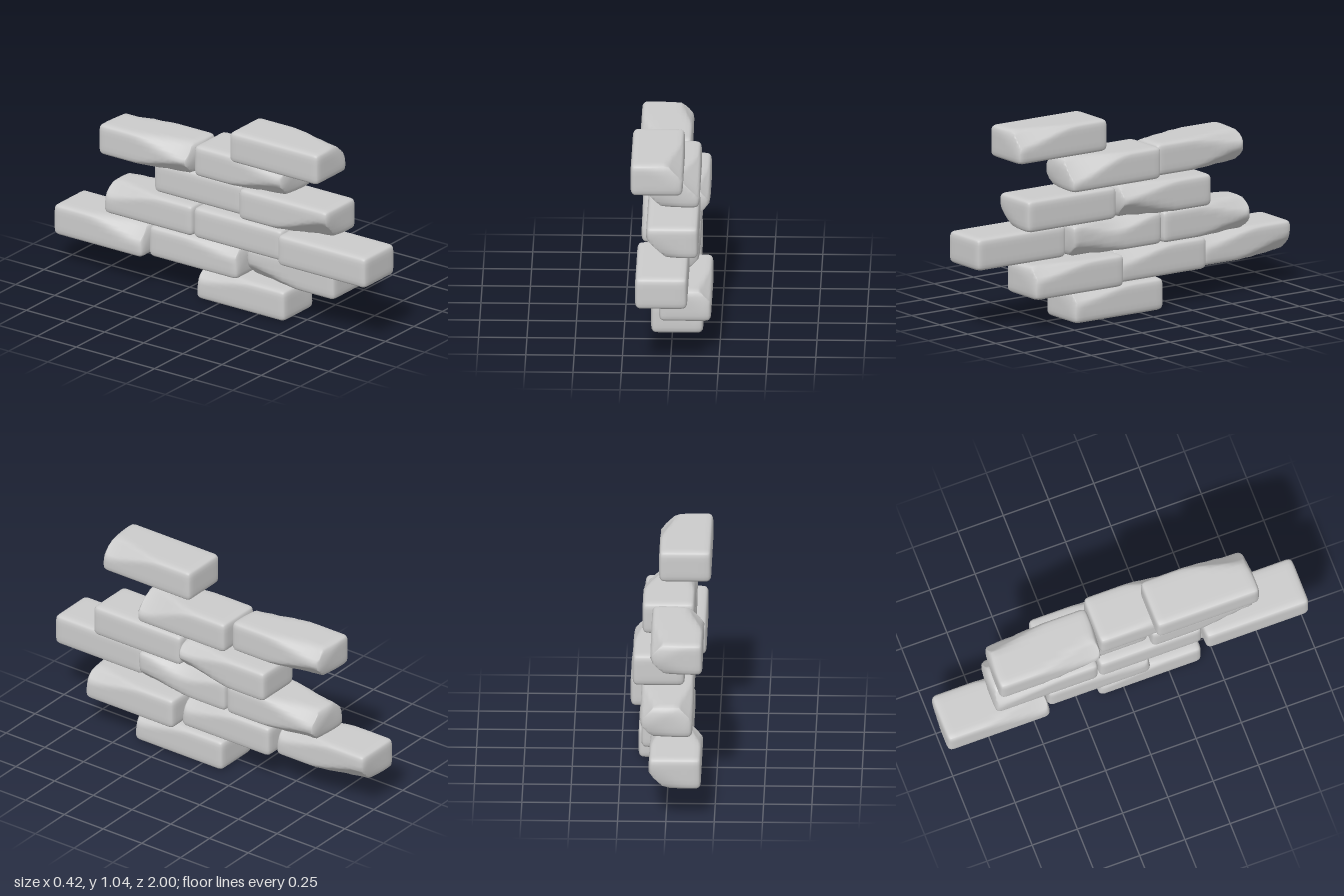
import * as THREE from 'three';
import { mergeVertices } from 'three/addons/utils/BufferGeometryUtils.js';

const W = 0.27, H = 0.171, L = 0.568, R = 0.03;
const ROW_PITCH = 0.173, BRICK_PITCH = 0.572, HALF_STEP = 0.284, FIRST_Z = 0.147;

// Worn stone brick: a rounded box whose long edges are shaved towards one end.
// Each cut is [x side, y side, z end (0 = middle), amount].
function brickGeometry(cuts) {
  const half = new THREE.Vector3(W / 2, H / 2, L / 2);
  const core = half.clone().subScalar(R);
  const coreMin = core.clone().negate();
  let geo = new THREE.BoxGeometry(2, 2, 2, 12, 10, 20);
  geo.deleteAttribute('uv');
  geo.deleteAttribute('normal');
  geo = mergeVertices(geo);
  const pos = geo.attributes.position;
  const p = new THREE.Vector3(), q = new THREE.Vector3();
  for (let i = 0; i < pos.count; i++) {
    p.fromBufferAttribute(pos, i);
    // crowd the rows towards the edges, then round them
    p.set(...p.toArray().map((t) => Math.sin(t * Math.PI / 2))).multiply(half);
    q.copy(p).clamp(coreMin, core);
    p.sub(q).setLength(R).add(q);
    for (const [sx, sy, sz, amount] of cuts) {
      // shave the worn edge
      const t = p.z / half.z;
      const fade = sz
        ? THREE.MathUtils.smoothstep(sz * t, -0.3, 1)
        : 1 - THREE.MathUtils.smoothstep(Math.abs(t), 0, 0.9);
      const over = sx * p.x + sy * p.y - (half.x + half.y - 0.018 - amount * fade);
      if (over > 0) {
        p.x -= sx * over / 2;
        p.y -= sy * over / 2;
      }
      // ease the end face back at the worn corner
      const near = (sx * p.x / half.x + sy * p.y / half.y) / 2;
      p.z -= sz * amount * 0.35 * THREE.MathUtils.smoothstep(near, 0.2, 1)
        * THREE.MathUtils.smoothstep(sz * t, 0.6, 1);
    }
    pos.setXYZ(i, p.x, p.y, p.z);
  }
  geo.computeVertexNormals();
  return geo;
}

// Adds one course: bricks run from front to back, the first one shifted
// forward by a number of half bricks. Each brick is [x centre, ...cuts].
function addCourse(model, material, row, shift, ...bricks) {
  const course = new THREE.Group();
  course.name = `course${row + 1}`;
  course.position.y = H / 2 + row * ROW_PITCH;
  bricks.forEach(([x, ...cuts], i) => {
    const brick = new THREE.Mesh(brickGeometry(cuts), material);
    brick.name = `brick${row + 1}_${i + 1}`;
    brick.position.set(x, 0, FIRST_Z + shift * HALF_STEP - i * BRICK_PITCH);
    course.add(brick);
  });
  model.add(course);
}

export function createModel() {
  const model = new THREE.Group();
  model.name = 'brickWallSection';
  const material = new THREE.MeshStandardMaterial({ color: 0xcccccc });

  // bottom course
  addCourse(model, material, 0, 0,
    [0.025, [1, 1, 1, 0.05], [-1, 1, -1, 0.05]]);
  addCourse(model, material, 1, 1,
    [0.072, [1, 1, 1, 0.05], [-1, -1, -1, 0.06]],
    [0.005, [1, 1, 1, 0.06], [-1, 1, 1, 0.04]],
    [-0.045, [1, 1, 1, 0.06], [-1, 1, 1, 0.07], [1, -1, -1, 0.07]]);
  addCourse(model, material, 2, 2,
    [-0.045],
    [0.005, [1, 1, 0, 0.05], [1, -1, 1, 0.05]],
    [0.005, [1, 1, -1, 0.06], [1, -1, -1, 0.05], [-1, 1, -1, 0.06]]);
  addCourse(model, material, 3, 1,
    [0.005, [-1, -1, 1, 0.09]],
    [0.05, [1, -1, 1, 0.07], [1, 1, 1, 0.05]]);
  addCourse(model, material, 4, 0,
    [0.005, [1, 1, 1, 0.1], [-1, 1, 1, 0.05], [-1, -1, 1, 0.06]],
    [-0.047, [-1, 1, 1, 0.07], [-1, -1, 1, 0.06], [1, 1, -1, 0.05], [1, -1, -1, 0.06]]);
  // top course
  addCourse(model, material, 5, 1,
    [-0.075, [1, 1, 1, 0.07]]);
  return model;
}
